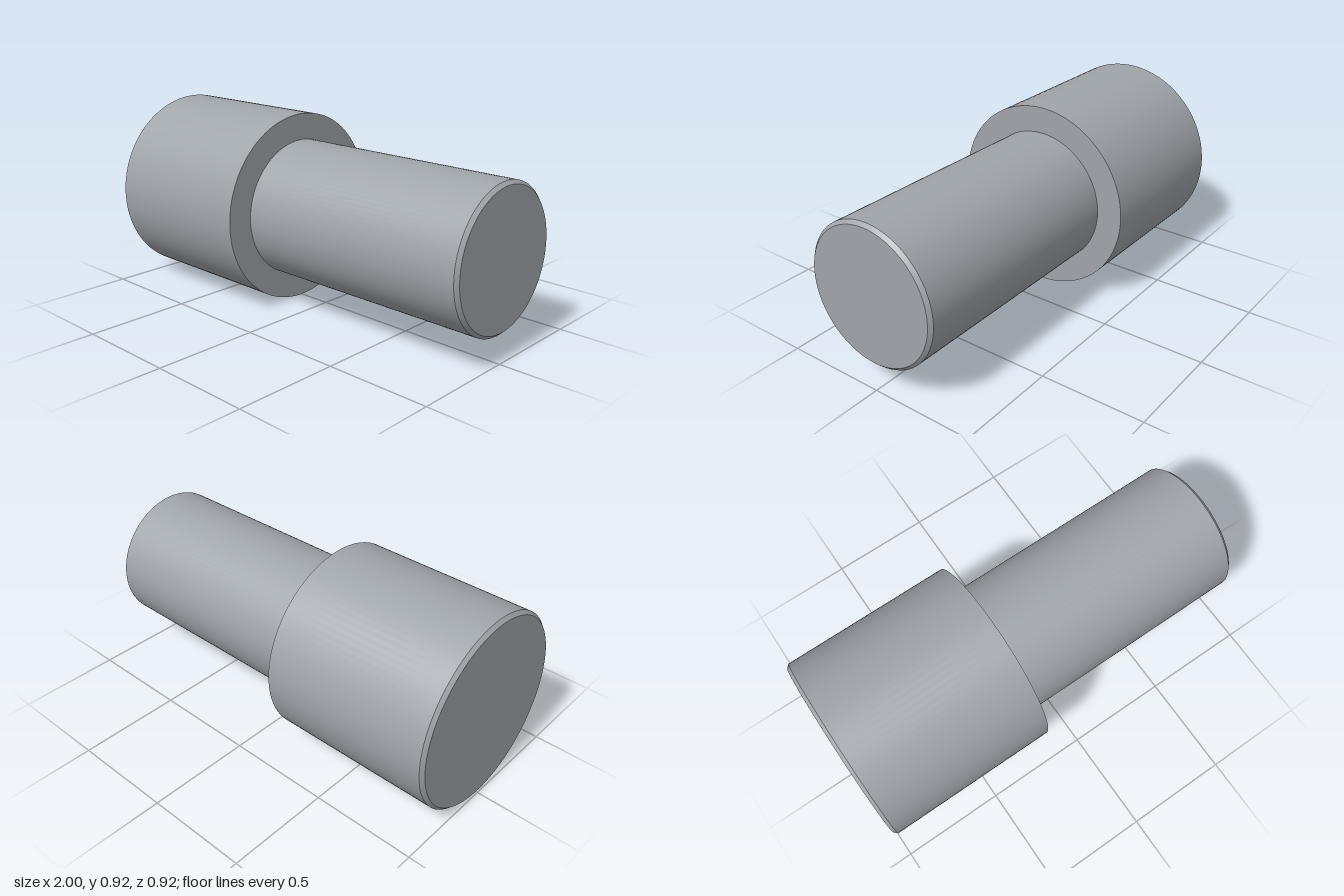
import * as THREE from 'three';
import { toCreasedNormals } from 'three/addons/utils/BufferGeometryUtils.js';

const HEAD_R = 0.458, SHANK_R = 0.332, STEP_X = -0.167, CHAMFER = 0.016;

// Turns a [radius, x] profile around the x axis, keeping its corners sharp
function turned(name, profile, material) {
  const points = profile.map(([r, x]) => new THREE.Vector2(r, x));
  const geometry = new THREE.LatheGeometry(points, 96).rotateZ(-Math.PI / 2);
  const mesh = new THREE.Mesh(toCreasedNormals(geometry, 0.5), material);
  mesh.name = name;
  mesh.position.y = HEAD_R;
  return mesh;
}

export function createModel() {
  const steel = new THREE.MeshStandardMaterial({ color: 0xa0a5aa });
  steel.name = 'steel';

  const group = new THREE.Group();
  group.name = 'steppedPin';

  // Wide head with a chamfered outer end and a flat shoulder
  group.add(turned('head', [
    [0, -1], [HEAD_R - CHAMFER, -1], [HEAD_R, -1 + CHAMFER],
    [HEAD_R, STEP_X], [SHANK_R, STEP_X],
  ], steel));

  // Narrow shank with a chamfered tip
  group.add(turned('shank', [
    [SHANK_R, STEP_X], [SHANK_R, 1 - CHAMFER], [SHANK_R - CHAMFER, 1], [0, 1],
  ], steel));

  return group;
}
